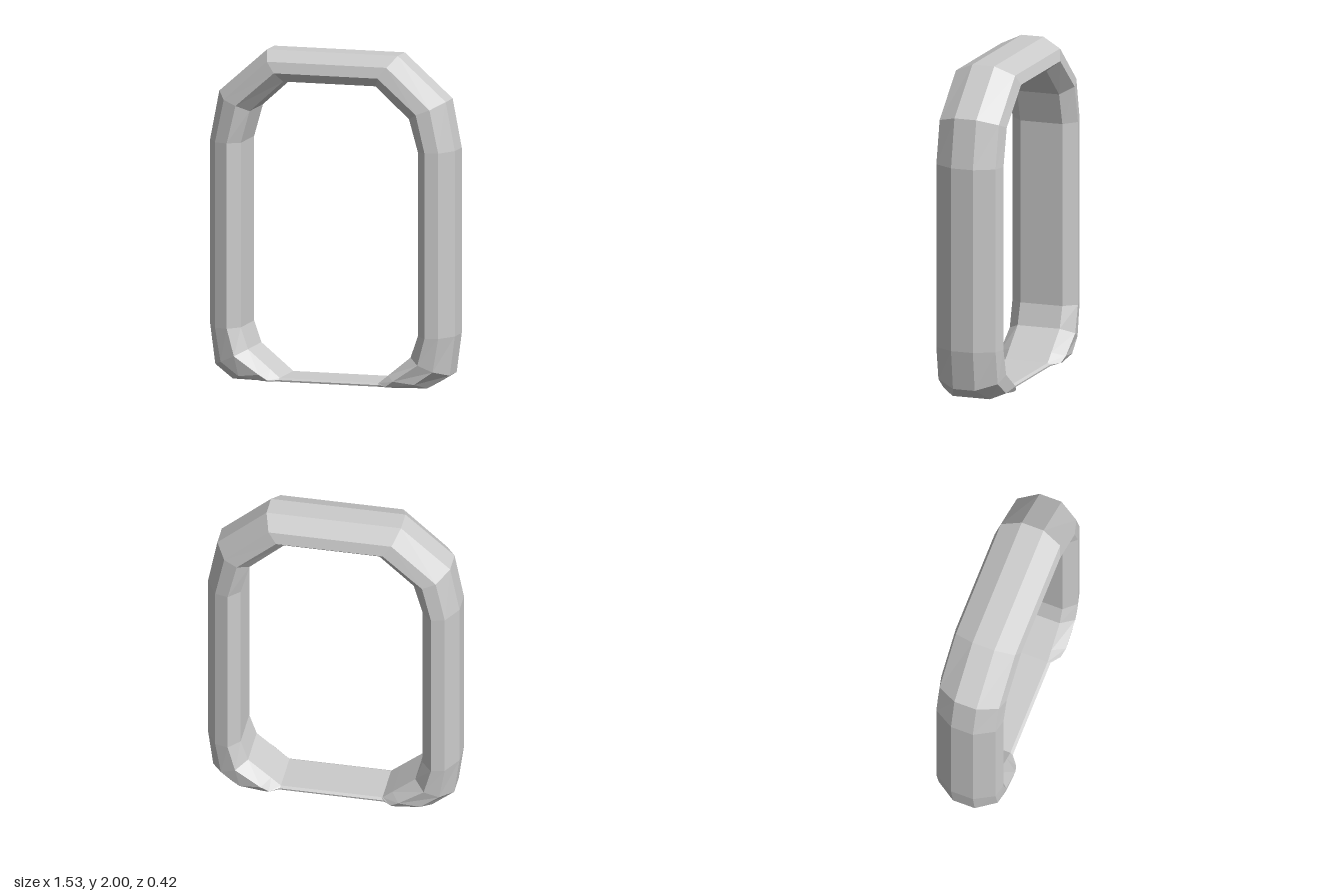
import * as THREE from 'three';

// Each station is half a cross-section: [x, y, z] of outer rim, bevel, side edge, inner rim.
const STATIONS = [
  [[0.41, 2.0, 0.07], [0.375, 1.945, 0.19], [0.325, 1.88, 0.21], [0.29, 1.82, 0.135]],
  [[0.71, 1.735, 0.07], [0.645, 1.7, 0.19], [0.565, 1.67, 0.21], [0.5, 1.63, 0.135]],
  [[0.767, 1.44, 0.07], [0.7, 1.44, 0.19], [0.62, 1.44, 0.21], [0.555, 1.435, 0.135]],
  [[0.767, 0.315, 0.07], [0.7, 0.315, 0.19], [0.62, 0.315, 0.21], [0.555, 0.315, 0.135]],
  [[0.735, 0.075, 0.07], [0.665, 0.11, 0.19], [0.575, 0.15, 0.21], [0.51, 0.185, 0.135]],
  // flattened foot, narrowing into the thin bottom bar
  [[0.61, 0.0, 0.12], [0.55, 0.03, 0.2], [0.42, 0.045, 0.21], [0.37, 0.07, 0.135]],
  [[0.41, 0.0, 0.14], [0.4, 0.005, 0.19], [0.37, 0.01, 0.195], [0.31, 0.02, 0.135]],
  [[0.32, 0.0, 0.12], [0.32, 0.0, 0.15], [0.315, 0.01, 0.152], [0.305, 0.02, 0.135]],
];

// Complete a half section by mirroring it front to back
function fullSection(half, side) {
  const front = half.map(([x, y, z]) => [side * x, y, z]);
  const back = front.map(([x, y, z]) => [x, y, -z]).reverse();
  return [...front, ...back];
}

// Skin a closed loop of cross-sections
function loftRing(sections) {
  const positions = [];
  sections.forEach((section, i) => {
    const next = sections[(i + 1) % sections.length];
    section.forEach((b, k) => {
      const j = (k + section.length - 1) % section.length;
      const a = section[j], c = next[k], d = next[j];
      positions.push(...a, ...b, ...c, ...a, ...c, ...d);
    });
  });
  const geometry = new THREE.BufferGeometry();
  geometry.setAttribute('position', new THREE.Float32BufferAttribute(positions, 3));
  geometry.computeVertexNormals();
  return geometry;
}

export function createModel() {
  const group = new THREE.Group();
  group.name = 'chainLink';

  // Left half downwards, then right half upwards
  const left = STATIONS.map((half) => fullSection(half, 1));
  const right = STATIONS.map((half) => fullSection(half, -1)).reverse();

  const material = new THREE.MeshStandardMaterial({ color: 0xcccccc, flatShading: true });
  const ring = new THREE.Mesh(loftRing([...left, ...right]), material);
  ring.name = 'ring';
  group.add(ring);
  return group;
}
